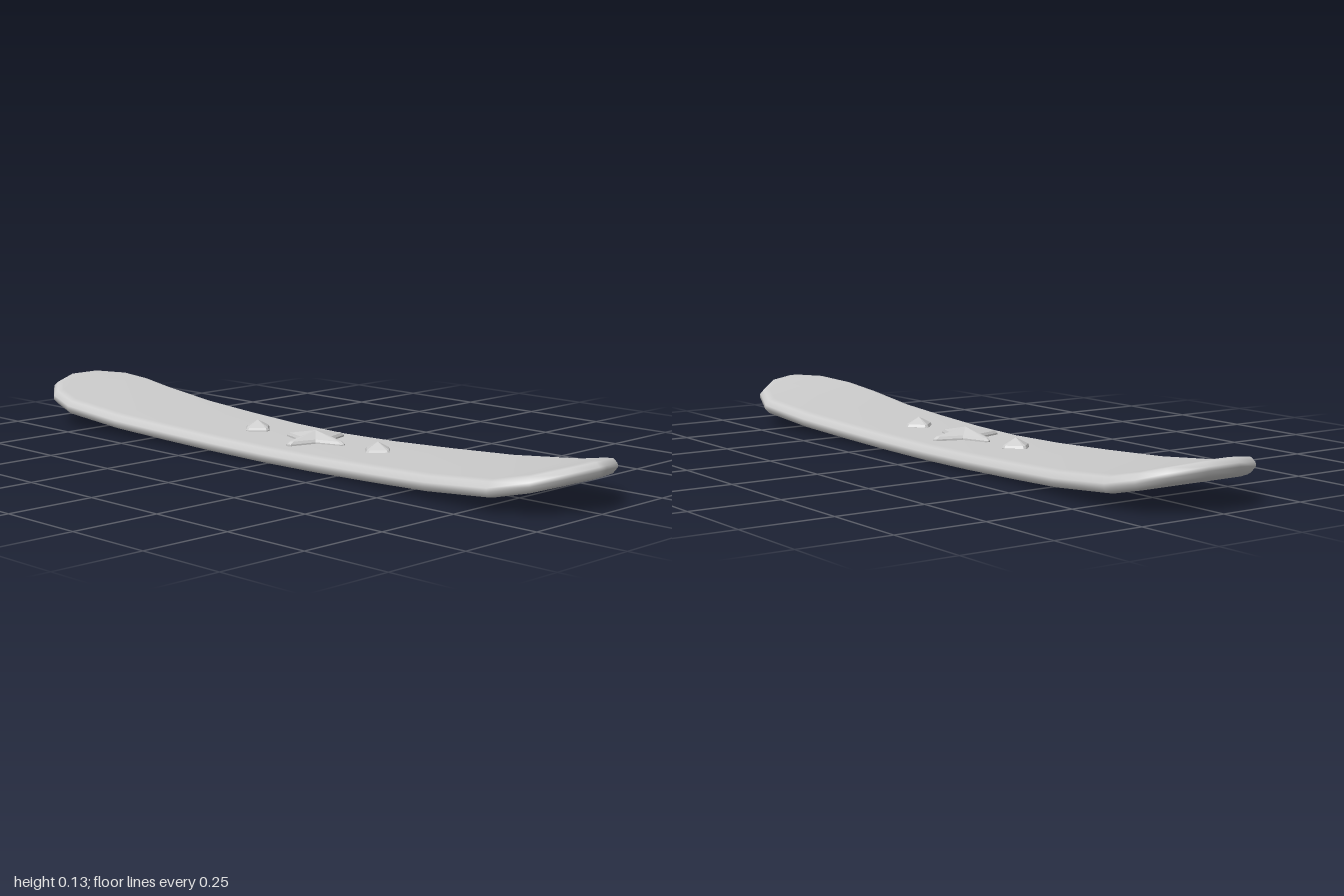
import * as THREE from 'three';

// Half outline from tail to nose: [z, half width]
const outline = [
  [-1, 0.05], [-0.96, 0.14], [-0.9, 0.187], [-0.81, 0.204], [-0.6, 0.194], [-0.4, 0.183],
  [-0.2, 0.174], [0, 0.17], [0.2, 0.174], [0.4, 0.183], [0.6, 0.193], [0.81, 0.204],
  [0.91, 0.167], [0.975, 0.095], [1, 0.015],
];
// Underside height by distance from the middle: [|z|, y]
const rocker = [[0, 0], [0.2, 0.003], [0.4, 0.01], [0.6, 0.019], [0.8, 0.036], [0.9, 0.058], [1.01, 0.093]];
// Edge profile from bottom to top: [inset, height above the underside]
const edge = [[0.03, 0], [0.012, 0.003], [0, 0.016], [0.002, 0.027], [0.013, 0.041], [0.032, 0.046]];

function rockerY(z) {
  const a = Math.abs(z);
  let i = 1;
  while (i < rocker.length - 1 && a > rocker[i][0]) i++;
  const [z0, y0] = rocker[i - 1], [z1, y1] = rocker[i];
  return y0 + (y1 - y0) * (a - z0) / (z1 - z0);
}

function makeGeometry(positions, index) {
  const g = new THREE.BufferGeometry();
  g.setAttribute('position', new THREE.Float32BufferAttribute(positions, 3));
  g.setIndex(index);
  return g;
}

// Board: stacked perimeter rings, closed by strips above and below
function boardGeometry() {
  const n = outline.length, m = 2 * n;
  const loop = [
    ...outline.map(([z, w]) => [w, z]),
    ...outline.map(([z, w]) => [-w, z]).reverse(),
  ];
  const positions = [], index = [];
  for (const [inset, h] of edge) {
    for (let j = 0; j < m; j++) {
      const p = loop[(j + m - 1) % m], q = loop[(j + 1) % m];
      const tx = q[0] - p[0], tz = q[1] - p[1], len = Math.hypot(tx, tz);
      const x = loop[j][0] - inset * tz / len;
      const z = loop[j][1] + inset * tx / len;
      positions.push(x, rockerY(z) + h, z);
    }
  }
  for (let r = 0; r < edge.length - 1; r++) {
    for (let j = 0; j < m; j++) {
      const k = (j + 1) % m;
      const a = r * m + j, b = r * m + k, c = b + m, d = a + m;
      index.push(a, d, c, a, c, b);
    }
  }
  const top = (edge.length - 1) * m;
  for (let i = 0; i < n - 1; i++) {
    const R = i, R2 = i + 1, L = m - 1 - i, L2 = m - 2 - i;
    index.push(top + L, top + L2, top + R, top + R, top + L2, top + R2);
    index.push(L, R, L2, R, R2, L2);
  }
  const g = makeGeometry(positions, index);
  g.computeVertexNormals();
  return g;
}

// Faceted stud: a short wall rising to a central peak
function studGeometry(points) {
  const n = points.length, positions = [], index = [];
  for (const [s, y] of [[1, 0.035], [1, 0.051], [0.9, 0.058]]) {
    for (const [r, a] of points) positions.push(r * s * Math.sin(a), y, r * s * Math.cos(a));
  }
  positions.push(0, 0.077, 0);
  for (let j = 0; j < n; j++) {
    const k = (j + 1) % n;
    for (const o of [0, n]) index.push(o + j, o + k, o + n + k, o + j, o + n + k, o + n + j);
    index.push(2 * n + j, 2 * n + k, 3 * n);
  }
  const g = makeGeometry(positions, index).toNonIndexed();
  g.computeVertexNormals();
  return g;
}

export function createModel() {
  const group = new THREE.Group();
  const grey = new THREE.MeshStandardMaterial({ color: 0xcccccc });
  grey.name = 'light grey';

  const add = (name, geometry, z = 0) => {
    const mesh = new THREE.Mesh(geometry, grey);
    mesh.name = name;
    mesh.position.z = z;
    group.add(mesh);
  };

  add('board', boardGeometry());

  // Four-pointed star and the two diamonds beside it
  const star = [], diamond = [];
  for (let k = 0; k < 4; k++) {
    const a = k * Math.PI / 2;
    star.push([0.104, a - 0.08], [0.109, a], [0.104, a + 0.08], [0.044, a + Math.PI / 4]);
    diamond.push([0.042, a - 0.12], [0.042, a + 0.12]);
  }
  add('star', studGeometry(star), 0.037);
  add('frontDiamond', studGeometry(diamond), 0.27);
  add('backDiamond', studGeometry(diamond), -0.195);

  return group;
}
